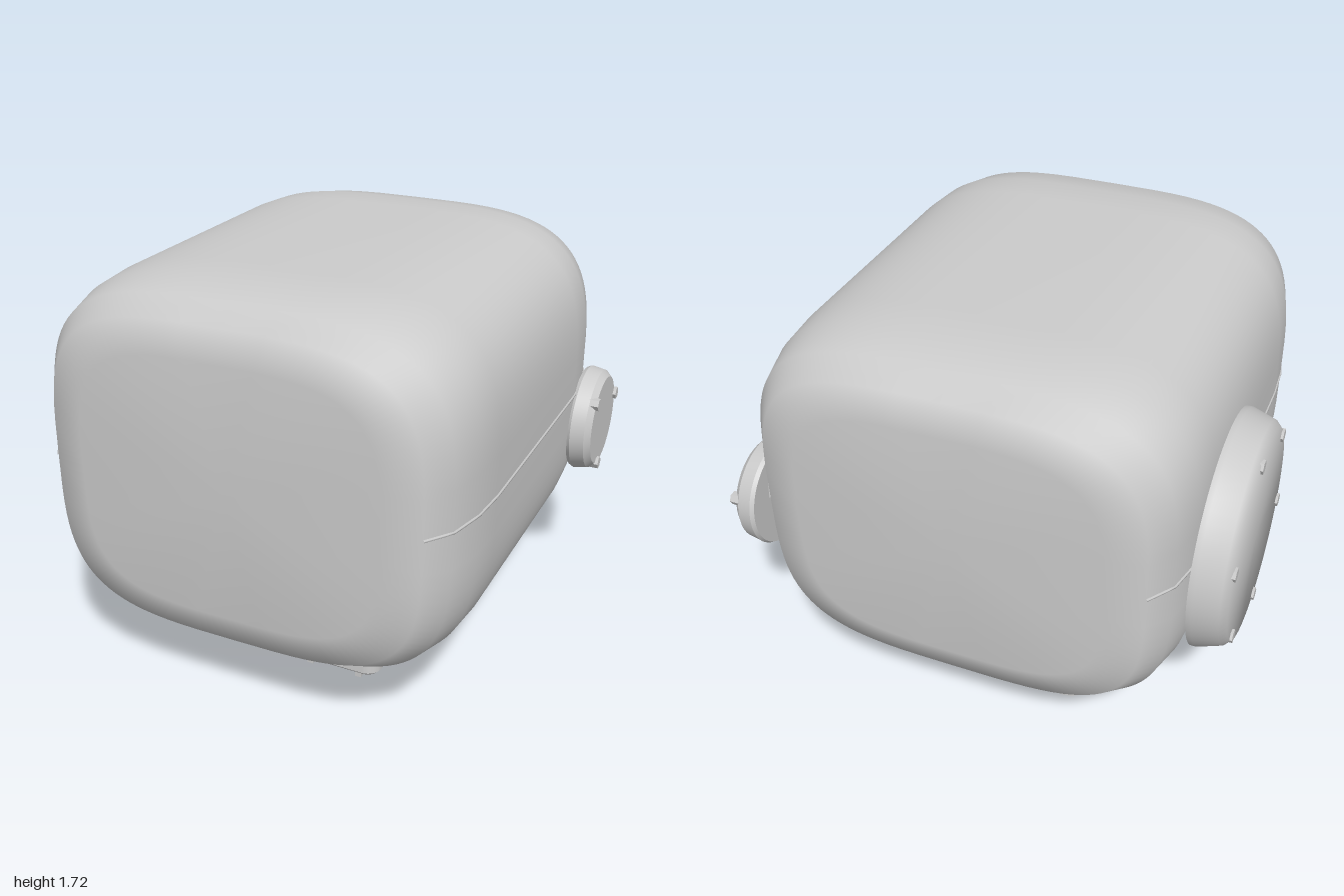
import * as THREE from 'three';
import { toCreasedNormals } from 'three/addons/utils/BufferGeometryUtils.js';

const smooth = new THREE.MeshStandardMaterial({ color: 0xcccccc });
const faceted = new THREE.MeshStandardMaterial({ color: 0xcccccc, flatShading: true });

const CX = 0.02, CY = 0.986, HALF_W = 0.873, HALF_H = 0.73;
// Lengthwise profile of one end, from the rim inwards: [z, scale of the cross-section]
const END = [[0.96, 0.7], [0.922, 0.864], [0.822, 0.946], [0.67, 0.987], [0.5, 1]];

function add(parent, name, geometry, material, x = 0, y = 0, z = 0) {
  const mesh = new THREE.Mesh(geometry, material);
  mesh.name = name;
  mesh.position.set(x, y, z);
  parent.add(mesh);
  return mesh;
}

// Superellipse cross-sections lofted along z, with closed ends
function housingGeometry() {
  const half = [[0.96, 0], ...END];
  const rings = [...half, ...half.map(([z, s]) => [-z, s]).reverse()];
  const n = 96, positions = [], index = [];
  const bulge = (v) => Math.sign(v) * Math.abs(v) ** 0.55;
  rings.forEach(([z, s], k) => {
    for (let i = 0; i < n; i++) {
      const t = (i / n) * Math.PI * 2;
      positions.push(CX + HALF_W * s * bulge(Math.cos(t)), CY + HALF_H * s * bulge(Math.sin(t)), z);
      if (k < rings.length - 1) {
        const a = k * n + i, b = k * n + (i + 1) % n;
        index.push(a, a + n, b, b, a + n, b + n);
      }
    }
  });
  const g = new THREE.BufferGeometry();
  g.setAttribute('position', new THREE.Float32BufferAttribute(positions, 3));
  g.setIndex(index);
  g.computeVertexNormals();
  return g;
}

// Thin joint line following the side of the housing
function seamGeometry(side) {
  const pts = [...END.slice(1), ...END.slice(1).map(([z, s]) => [-z, s]).reverse()]
    .map(([z, s]) => new THREE.Vector3(CX + side * HALF_W * s, 0.982, z));
  const path = new THREE.CurvePath();
  for (let i = 1; i < pts.length; i++) path.add(new THREE.LineCurve3(pts[i - 1], pts[i]));
  return new THREE.TubeGeometry(path, 60, 0.006, 6);
}

// Round side cover with hex bolts; side is +1 or -1 along x
function sideCover(name, side, x, y, z, profile, crease, bolts) {
  const cover = new THREE.Group();
  cover.name = name;
  cover.position.set(x, y, z);
  cover.rotation.z = -side * Math.PI / 2;
  const lathe = new THREE.LatheGeometry(profile.map(([r, h]) => new THREE.Vector2(r, h)), 64);
  add(cover, name + 'Plate', toCreasedNormals(lathe, crease), smooth);
  for (let i = 0; i < bolts.count; i++) {
    const a = bolts.start + (i / bolts.count) * Math.PI * 2;
    add(cover, name + 'Bolt', new THREE.CylinderGeometry(0.027, 0.027, 0.06, 6), faceted,
      -side * bolts.radius * Math.sin(a), bolts.top - 0.03, side * bolts.radius * Math.cos(a));
  }
  return cover;
}

// Rounded-corner pan, extruded downwards with a small bevel
function panGeometry(w, d, r, height) {
  const x = w / 2, y = d / 2, bevel = 0.015;
  const s = new THREE.Shape();
  s.absarc(x - r, y - r, r, 0, Math.PI / 2);
  s.absarc(r - x, y - r, r, Math.PI / 2, Math.PI);
  s.absarc(r - x, r - y, r, Math.PI, Math.PI * 1.5);
  s.absarc(x - r, r - y, r, Math.PI * 1.5, Math.PI * 2);
  s.closePath();
  const g = new THREE.ExtrudeGeometry(s, {
    depth: height - 2 * bevel, bevelThickness: bevel, bevelSize: bevel,
    bevelOffset: -bevel, bevelSegments: 1, curveSegments: 8,
  });
  g.translate(0, 0, bevel).rotateX(-Math.PI / 2);
  return toCreasedNormals(g, 0.5);
}

export function createModel() {
  const model = new THREE.Group();
  model.name = 'gearHousing';

  add(model, 'housing', housingGeometry(), smooth);
  for (const side of [-1, 1]) add(model, side > 0 ? 'leftSeam' : 'rightSeam', seamGeometry(side), smooth);

  // Side covers
  model.add(sideCover('largeCover', -1, -0.85, 0.9, -0.34,
    [[0, 0], [0.47, 0], [0.47, 0.022], [0.44, 0.115], [0.415, 0.14], [0, 0.14]], 0.85,
    { count: 6, radius: 0.395, start: THREE.MathUtils.degToRad(17), top: 0.15 }));
  model.add(sideCover('smallCover', 1, 0.887, 0.816, -0.678,
    [[0, 0], [0.222, 0], [0.23, 0.016], [0.22, 0.075], [0.195, 0.1], [0, 0.1]], 0.5,
    { count: 3, radius: 0.195, start: THREE.MathUtils.degToRad(42), top: 0.113 }));

  // Bottom pan with cooling fins and drain plug
  add(model, 'pan', panGeometry(0.865, 1.24, 0.06, 0.235), smooth, CX, 0.071, -0.055);
  for (let i = 0; i < 4; i++) {
    add(model, 'coolingFin', new THREE.BoxGeometry(0.027, 0.075, 1.125), faceted, CX + (i - 1.5) * 0.22, 0.0525, -0.056);
  }
  const plug = add(model, 'drainPlug', new THREE.CylinderGeometry(0.0625, 0.0625, 0.09, 6), faceted, CX, 0.045, 0.34);
  plug.rotation.y = Math.PI / 2;
  return model;
}
